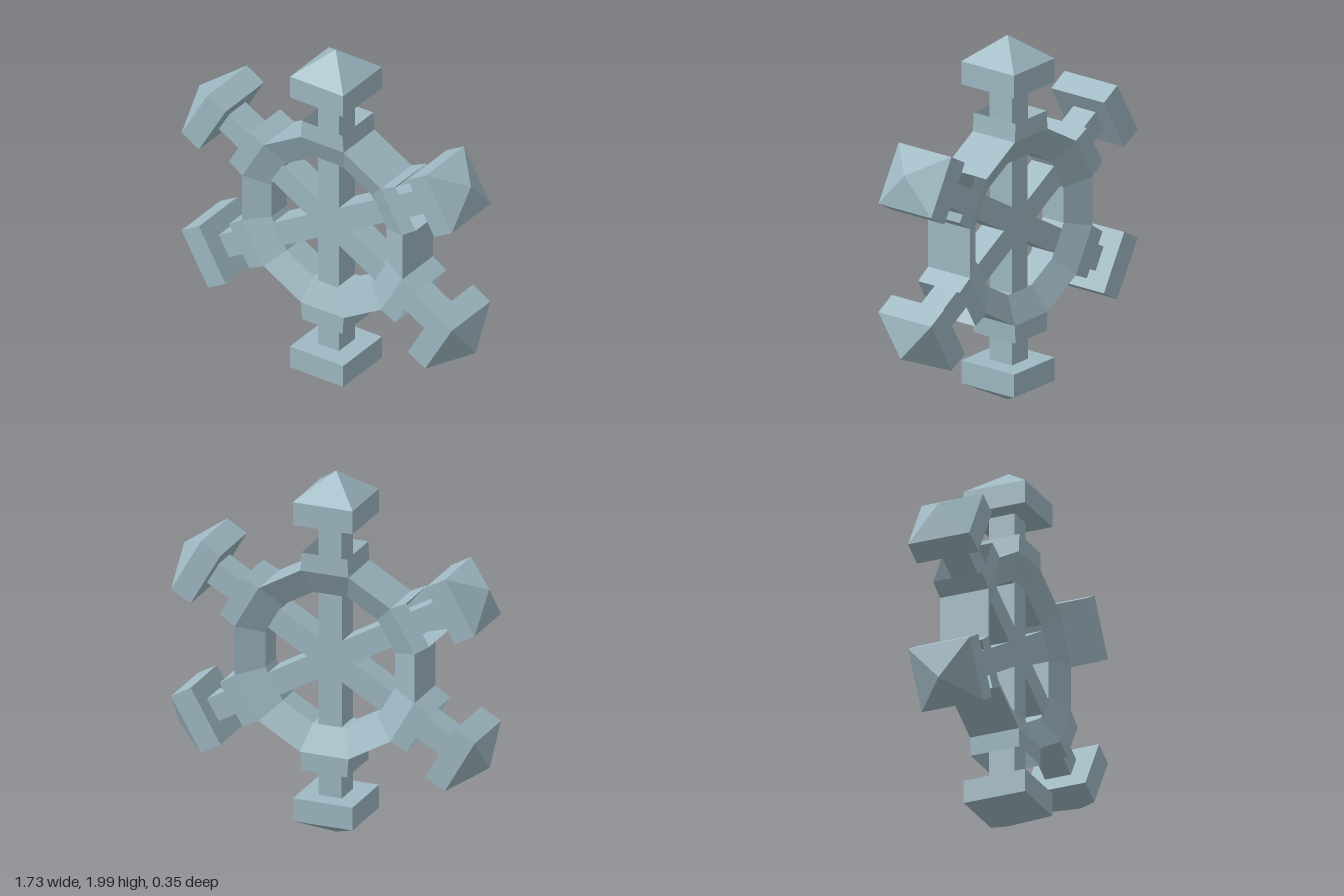
import * as THREE from 'three';

const SIDES = 12;
const HALF = Math.tan(Math.PI / SIDES);

// Flat-faced geometry from a list of quads, each with four corners in order
function fromQuads(quads) {
  const pos = [];
  for (const [a, b, c, d] of quads) pos.push(...a, ...b, ...c, ...a, ...c, ...d);
  const g = new THREE.BufferGeometry();
  g.setAttribute('position', new THREE.Float32BufferAttribute(pos, 3));
  g.computeVertexNormals();
  return g;
}

// Joins rectangular sections [radius, halfWidth, halfDepth, zCentre] along +y
function loft(sections) {
  const corners = sections.map(([r, w, d, z]) =>
    [[-w, r, z + d], [w, r, z + d], [w, r, z - d], [-w, r, z - d]]);
  const quads = [];
  for (let s = 0; s < corners.length - 1; s++) {
    const lo = corners[s], hi = corners[s + 1];
    for (let i = 0; i < 4; i++) {
      const j = (i + 1) % 4;
      quads.push([lo[i], lo[j], hi[j], hi[i]]);
    }
  }
  return fromQuads(quads);
}

// One facet of the ring; the outer wall is left open where a collar grows out
function ringFacet(withOuterWall) {
  const p = [[0.5, 0.12], [0.36, 0.06], [0.36, -0.08], [0.5, -0.155]];
  const quads = [];
  for (let i = 0; i < (withOuterWall ? 4 : 3); i++) {
    const [r0, z0] = p[i], [r1, z1] = p[(i + 1) % 4];
    quads.push([[-r1 * HALF, r1, z1], [r1 * HALF, r1, z1], [r0 * HALF, r0, z0], [-r0 * HALF, r0, z0]]);
  }
  return fromQuads(quads);
}

export function createModel() {
  const blue = new THREE.MeshStandardMaterial({ color: 0x9fb9c3 });
  blue.name = 'pale ice blue';
  blue.flatShading = true;

  const model = new THREE.Group();
  model.name = 'snowflake';
  const wheel = new THREE.Group();
  wheel.name = 'wheel';
  wheel.position.set(-0.005, 0.985, 0);
  model.add(wheel);

  const add = (parent, name, geometry) => {
    const mesh = new THREE.Mesh(geometry, blue);
    mesh.name = name;
    parent.add(mesh);
    return mesh;
  };

  // Twelve-sided ring with a tapered inner edge
  const ring = new THREE.Group();
  ring.name = 'ring';
  wheel.add(ring);
  const closed = ringFacet(true), open = ringFacet(false);
  for (let i = 0; i < SIDES; i++) {
    add(ring, 'ringFacet', i % 2 ? closed : open).rotation.z = i * 2 * Math.PI / SIDES;
  }

  // Three bars crossing at the centre
  for (let i = 0; i < 3; i++) {
    const bar = add(wheel, 'spoke', new THREE.BoxGeometry(0.13, 0.73, 0.145));
    bar.position.z = -0.008;
    bar.rotation.z = i * Math.PI / 3;
  }

  // Six arms, counter-clockwise from the top: hollow collar, neck, pointed head
  const tips = [1.015, 0.983, 0.985, 0.975, 1.01, 0.976];
  const collar = loft([
    [0.5, 0.134, 0.1375, -0.0175], [0.6, 0.127, 0.1375, -0.0175], [0.42, 0.065, 0.073, -0.008],
  ]);
  const neck = loft([[0.36, 0.065, 0.073, -0.008], [0.76, 0.065, 0.073, -0.008]]);
  tips.forEach((tip, i) => {
    const arm = new THREE.Group();
    arm.name = 'arm';
    arm.rotation.z = i * Math.PI / 3;
    wheel.add(arm);
    add(arm, 'collar', collar);
    add(arm, 'neck', neck);
    add(arm, 'head', loft([
      [0.753, 0, 0, -0.003], [0.753, 0.166, 0.173, -0.003],
      [0.879, 0.166, 0.173, -0.003], [tip, 0, 0, 0],
    ]));
  });

  return model;
}
